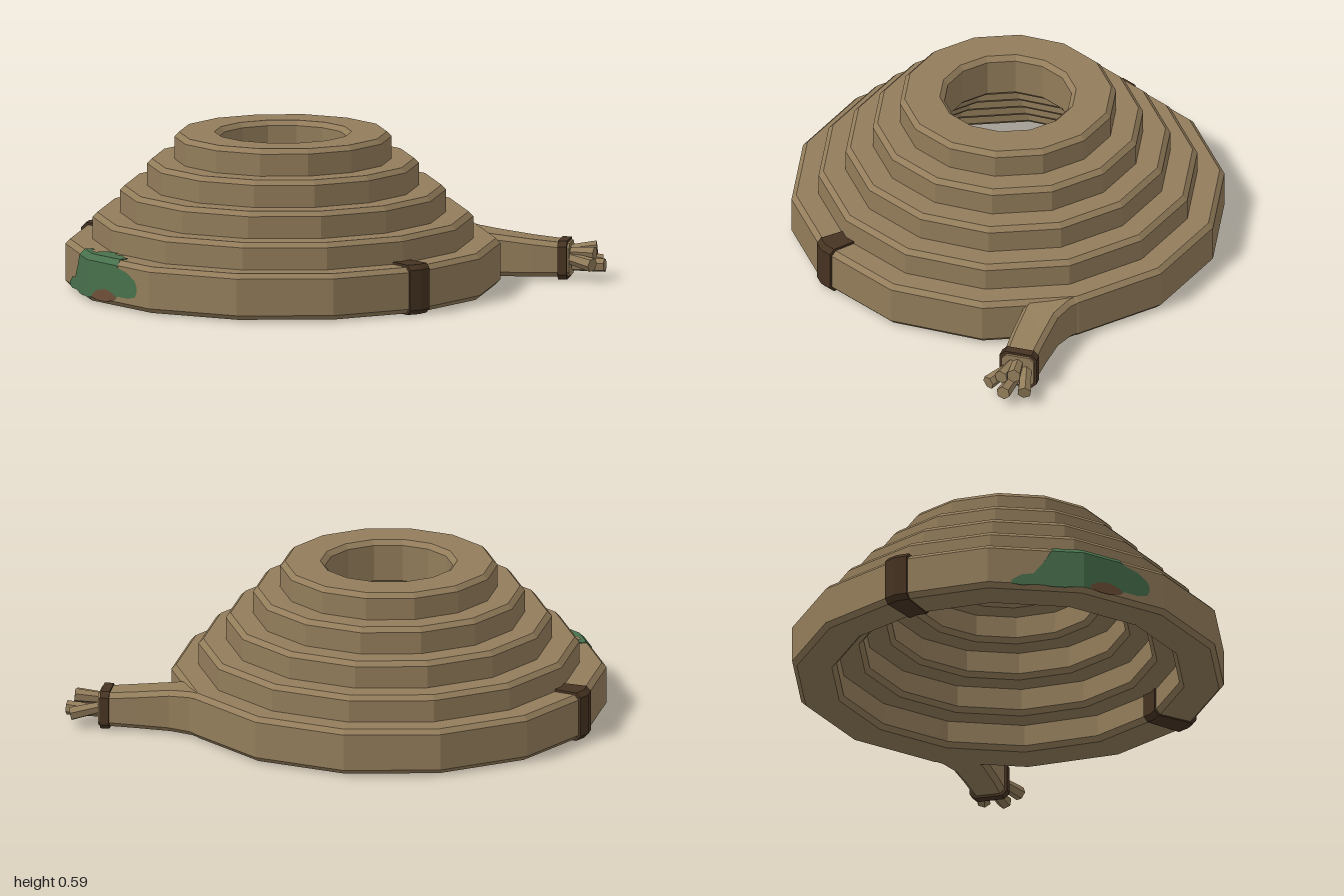
import * as THREE from 'three';

const CX = -0.187, SIDES = 14, STEP = (Math.PI * 2) / SIDES, R = 0.815, WIDTH = 0.168;

const rope = new THREE.MeshStandardMaterial({ color: 0x937d5b });
rope.name = 'rope tan';
const strap = new THREE.MeshStandardMaterial({ color: 0x463322 });
strap.name = 'dark strap';
const moss = new THREE.MeshStandardMaterial({ color: 0x48704c, side: THREE.DoubleSide });
moss.name = 'moss green';
const stain = new THREE.MeshStandardMaterial({ color: 0x6e4f38, side: THREE.DoubleSide });
stain.name = 'stain brown';

// Faceted mesh from a list of triangles
function facets(tris, material, name) {
  const geometry = new THREE.BufferGeometry().setFromPoints(tris.flat());
  geometry.computeVertexNormals();
  const mesh = new THREE.Mesh(geometry, material);
  mesh.name = name;
  return mesh;
}

// Skin a row of matching cross-sections; a ring joins its ends, otherwise they are capped
function loft(sections, ring, material, name) {
  const tris = [];
  const n = sections[0].length, m = sections.length;
  for (let i = 0; i < (ring ? m : m - 1); i++) {
    const a = sections[i], b = sections[(i + 1) % m];
    for (let j = 0; j < n; j++) {
      const k = (j + 1) % n;
      tris.push([a[j], b[j], b[k]], [a[j], b[k], a[k]]);
    }
  }
  if (!ring) {
    const a = sections[0], b = sections[m - 1];
    for (let j = 1; j < n - 1; j++) tris.push([a[0], a[j], a[j + 1]], [b[0], b[j + 1], b[j]]);
  }
  // Turn the faces outward
  let volume = 0;
  const cross = new THREE.Vector3();
  for (const [a, b, c] of tris) volume += a.dot(cross.crossVectors(b, c));
  if (volume < 0) tris.forEach((t) => t.reverse());
  return facets(tris, material, name);
}

// Bevelled rectangle
function bevelled(u0, u1, y0, y1, c) {
  return [[u1 - c, y0], [u1, y0 + c], [u1, y1 - c], [u1 - c, y1],
    [u0 + c, y1], [u0, y1 - c], [u0, y0 + c], [u0 + c, y0]];
}

// Point on the faceted coil at an angle
function polar(r, y, angle) {
  const a = ((angle % STEP) + STEP) % STEP - STEP / 2;
  const d = (r * Math.cos(STEP / 2)) / Math.cos(a);
  return new THREE.Vector3(CX + d * Math.cos(angle), y, d * Math.sin(angle));
}

// Bevelled bar following [x, z, heading, width, y0, y1]
function bar(path, c, material, name) {
  return loft(path.map(([x, z, h, w, y0, y1]) =>
    bevelled(-w / 2, w / 2, y0, y1, c).map(([u, y]) =>
      new THREE.Vector3(x - u * Math.sin(h), y, z + u * Math.cos(h)))), false, material, name);
}

// Patch of [z, low, high] columns, measured up the outer wall and over the rim
function patch(columns, lift, material, name) {
  const bend1 = 0.157, bend2 = 0.182;
  const surface = (u, z) => {
    let r = R, y = 0.005 + u;
    if (u > bend2) { r = R - 0.018 - (u - bend2); y = 0.18 + lift; }
    else if (u > bend1) {
      const t = (u - bend1) / (bend2 - bend1);
      r = R + lift - t * (0.018 + lift);
      y = 0.162 + t * (0.018 + lift);
    } else r += lift;
    return polar(r, y, Math.PI - Math.asin(z / R));
  };
  const rows = columns.map(([z, lo, hi]) =>
    [lo, bend1, bend2, hi].map((u) => surface(Math.min(Math.max(u, lo), hi), z)));
  const tris = [];
  for (let i = 0; i < rows.length - 1; i++) {
    for (let j = 0; j < 3; j++) {
      const a = rows[i], b = rows[i + 1];
      for (const t of [[a[j], b[j], b[j + 1]], [a[j], b[j + 1], a[j + 1]]]) {
        if (new THREE.Triangle(...t).getArea() > 1e-7) tris.push(t);
      }
    }
  }
  // Face away from the coil
  const normal = new THREE.Vector3();
  for (const t of tris) {
    new THREE.Triangle(...t).getNormal(normal);
    if (normal.y - normal.x < 0) t.reverse();
  }
  return facets(tris, material, name);
}

export function createModel() {
  const model = new THREE.Group();
  model.name = 'ropeCoil';

  // Five stacked turns, each narrower than the one below
  for (let k = 0; k < 5; k++) {
    const r = R - k * 0.102;
    const profile = bevelled(r - WIDTH, r, 0.005 + k * 0.1015, 0.18 + k * 0.1015, 0.018);
    const sections = [];
    for (let i = 0; i < SIDES; i++) sections.push(profile.map(([u, y]) => polar(u, y, i * STEP)));
    model.add(loft(sections, true, rope, 'coilTurn' + (k + 1)));
  }

  // Straps wrapped round the lowest turn
  for (const corner of [3, 9]) {
    const profile = bevelled(R - WIDTH - 0.008, R + 0.008, 0, 0.189, 0.018);
    const sections = [-0.058, 0, 0.058].map((d) =>
      profile.map(([u, y]) => polar(u, y, corner * STEP + d)));
    model.add(loft(sections, false, strap, 'coilStrap'));
  }

  // Loose end, peeling away from the lowest turn
  model.add(bar([
    [0.535, -0.03, 1.55, 0.165, 0.006, 0.179],
    [0.56, 0.06, 1.2, 0.16, 0.006, 0.176],
    [0.63, 0.15, 0.82, 0.145, 0.007, 0.168],
    [0.74, 0.235, 0.64, 0.135, 0.009, 0.152],
    [0.86, 0.32, 0.62, 0.125, 0.012, 0.138],
  ], 0.018, rope, 'looseEnd'));
  model.add(bar([
    [0.825, 0.296, 0.62, 0.145, 0.002, 0.148],
    [0.853, 0.316, 0.62, 0.145, 0.002, 0.148],
  ], 0.02, strap, 'endStrap'));

  // Frayed strands
  const strands = [
    [0.87, 0.29, 0.08, 0.98, 0.335, 0.055],
    [0.86, 0.32, 0.105, 0.945, 0.365, 0.115],
    [0.86, 0.33, 0.05, 0.955, 0.41, 0.055],
    [0.84, 0.345, 0.08, 0.885, 0.445, 0.065],
    [0.85, 0.34, 0.1, 0.915, 0.405, 0.1],
  ];
  for (const [x0, z0, y0, x1, z1, y1] of strands) {
    const a = new THREE.Vector3(x0, y0, z0), b = new THREE.Vector3(x1, y1, z1);
    const dir = b.clone().sub(a);
    const geometry = new THREE.CylinderGeometry(0.027, 0.022, dir.length(), 6).toNonIndexed();
    geometry.computeVertexNormals();
    const strand = new THREE.Mesh(geometry, rope);
    strand.name = 'strand';
    strand.position.copy(a).add(b).multiplyScalar(0.5);
    strand.quaternion.setFromUnitVectors(new THREE.Vector3(0, 1, 0), dir.normalize());
    model.add(strand);
  }

  // Mossy patch with a small brown stain
  model.add(patch([
    [-0.27, 0.015, 0.03], [-0.23, 0.01, 0.055], [-0.19, 0.015, 0.06], [-0.15, 0.015, 0.11],
    [-0.12, 0.01, 0.16], [-0.115, 0.01, 0.215], [-0.08, 0.01, 0.215], [-0.07, 0.01, 0.195],
    [-0.03, 0.015, 0.205], [-0.02, 0.015, 0.25], [0, 0.015, 0.262], [0.05, 0.02, 0.262],
    [0.06, 0.02, 0.24], [0.11, 0.03, 0.245], [0.13, 0.03, 0.225], [0.17, 0.03, 0.22],
    [0.18, 0.04, 0.15], [0.24, 0.04, 0.135], [0.28, 0.05, 0.11], [0.29, 0.07, 0.09],
  ], 0.003, moss, 'mossPatch'));
  model.add(patch([
    [0.03, 0.02, 0.03], [0.06, 0.012, 0.05], [0.11, 0.012, 0.06], [0.15, 0.02, 0.05], [0.17, 0.03, 0.04],
  ], 0.005, stain, 'brownStain'));

  return model;
}
